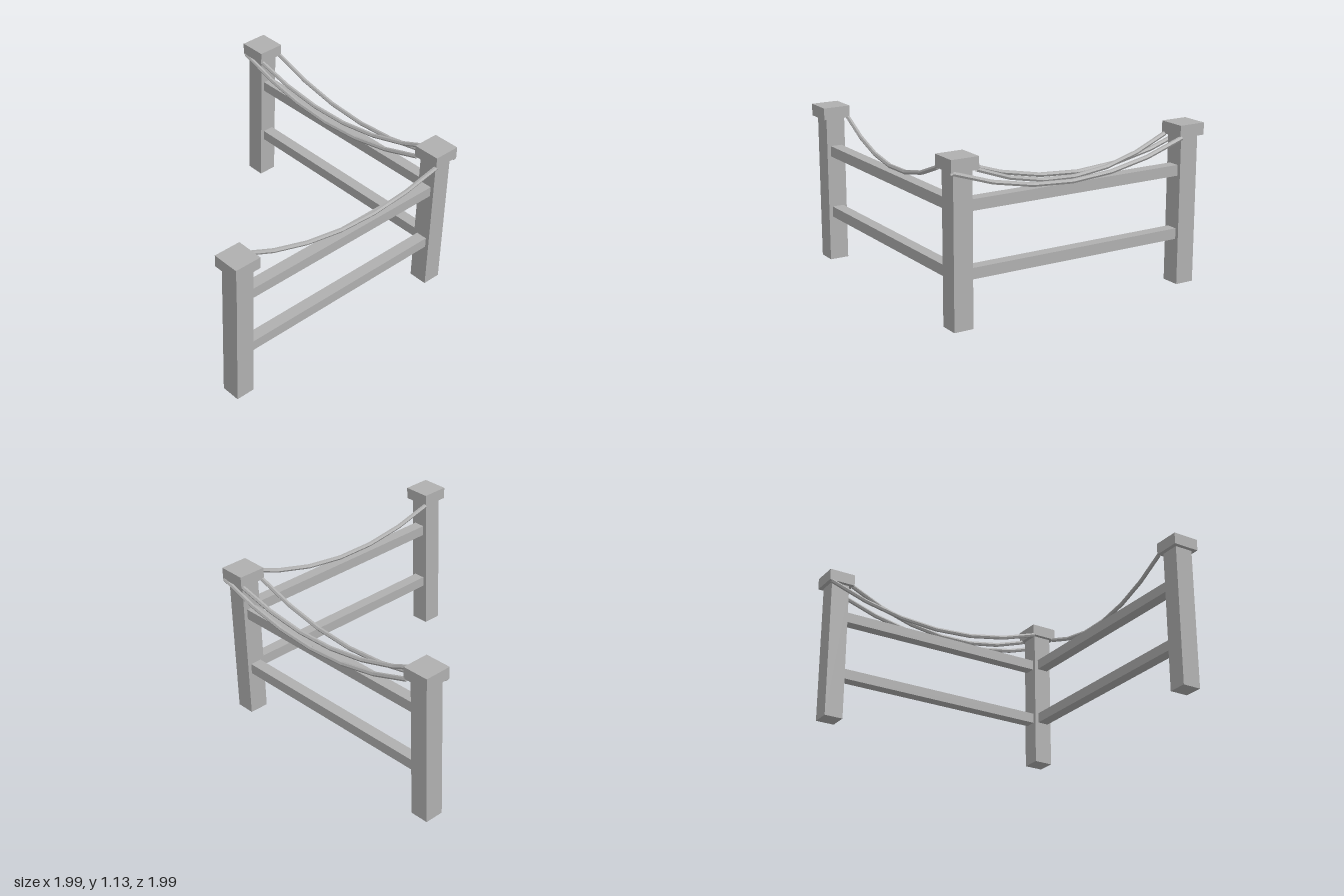
import * as THREE from 'three';

export function createModel() {
  const group = new THREE.Group();
  group.name = 'cornerFence';
  const grey = new THREE.MeshStandardMaterial({ color: 0xb0b0b0, side: THREE.DoubleSide });
  grey.name = 'plain grey';

  const add = (name, geometry, x = 0, y = 0, z = 0) => {
    const mesh = new THREE.Mesh(geometry, grey);
    mesh.name = name;
    mesh.position.set(x, y, z);
    group.add(mesh);
  };

  // Square posts with overhanging caps
  const posts = [['right', -0.895, 0.89], ['corner', 0.89, 0.89], ['back', 0.89, -0.895]];
  for (const [side, x, z] of posts) {
    add(side + 'Post', new THREE.BoxGeometry(0.14, 1.05, 0.14), x, 0.525, z);
    add(side + 'PostCap', new THREE.BoxGeometry(0.2, 0.085, 0.2), x, 1.0925, z);
  }

  // Two rails on each run
  for (const [level, y] of [['lower', 0.36], ['upper', 0.81]]) {
    add(level + 'FrontRail', new THREE.BoxGeometry(1.66, 0.076, 0.085), 0, y, 0.89);
    add(level + 'SideRail', new THREE.BoxGeometry(0.085, 0.076, 1.66), 0.89, y, 0);
  }

  // Sagging faceted ropes hung from under the caps
  const rope = (name, x0, z0, x1, z1) => {
    const top = 1.048, low = 0.874;
    const curve = new THREE.QuadraticBezierCurve3(
      new THREE.Vector3(x0, top, z0),
      new THREE.Vector3((x0 + x1) / 2, 2 * low - top, (z0 + z1) / 2),
      new THREE.Vector3(x1, top, z1));
    const geometry = new THREE.TubeGeometry(curve, 6, 0.016, 6).toNonIndexed();
    geometry.computeVertexNormals();
    add(name, geometry);
  };
  rope('frontRope', -0.8, 0.8, 0.8, 0.98);
  rope('crossingSideRope', 0.81, -0.8, 0.97, 0.8);
  rope('innerSideRope', 0.8, -0.98, 0.8, 0.8);
  rope('outerSideRope', 0.983, -0.81, 0.983, 0.98);

  return group;
}
